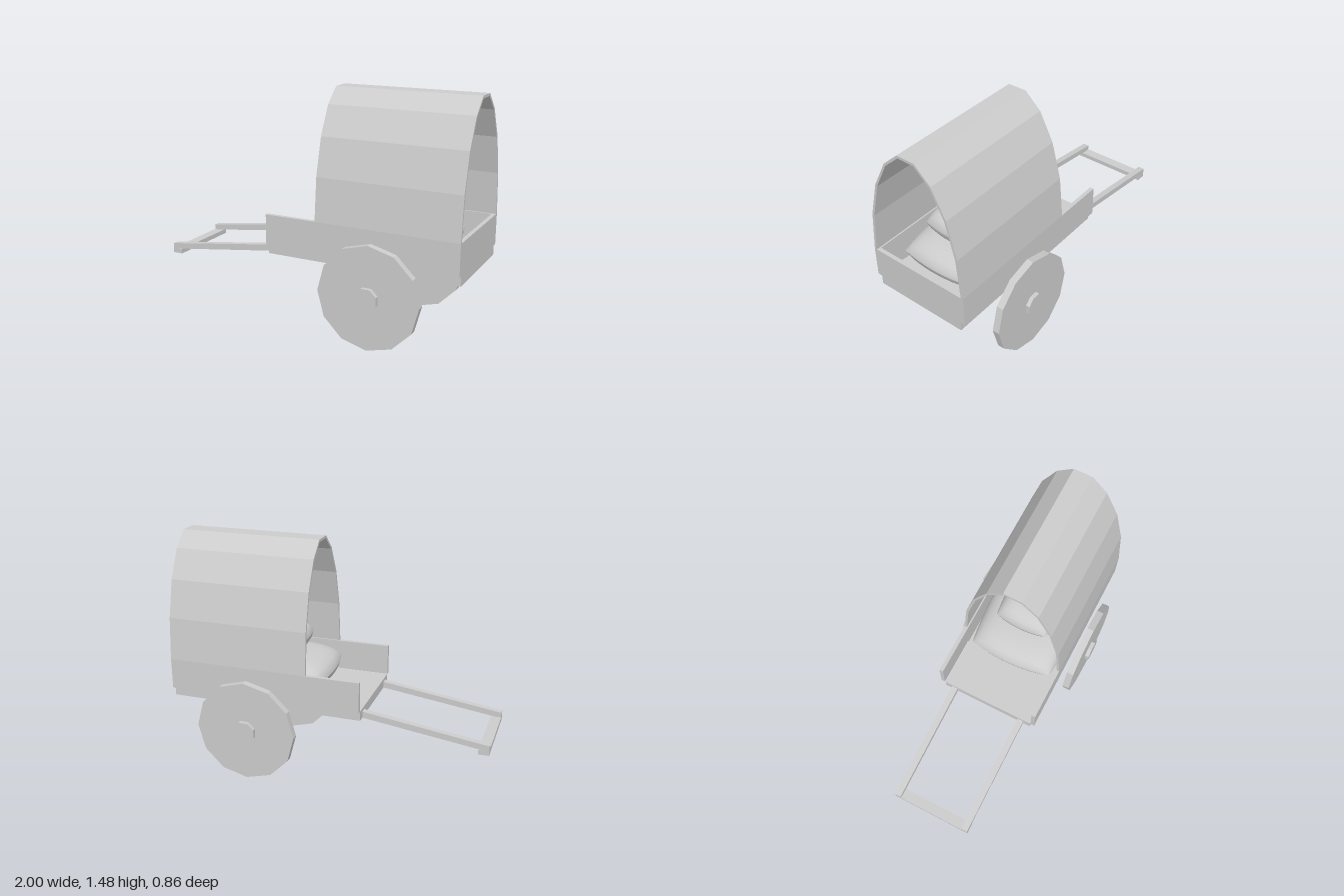
import * as THREE from 'three';
import { mergeGeometries } from 'three/addons/utils/BufferGeometryUtils.js';

const grey = new THREE.MeshStandardMaterial({ color: 0xcccccc });
grey.name = 'plain grey';

export function createModel() {
  const cart = new THREE.Group();
  cart.name = 'coveredCart';

  const add = (name, geometry) => {
    const mesh = new THREE.Mesh(geometry, grey);
    mesh.name = name;
    cart.add(mesh);
    return mesh;
  };
  // Box given by its limits on each axis
  const box = (name, x0, x1, y0, y1, z0, z1) => {
    const mesh = add(name, new THREE.BoxGeometry(x1 - x0, y1 - y0, z1 - z0));
    mesh.position.set((x0 + x1) / 2, (y0 + y1) / 2, (z0 + z1) / 2);
    return mesh;
  };
  // Faceted disc with its axis along z
  const disc = (name, radius, depth, sides, turn, z) => {
    const g = new THREE.CylinderGeometry(radius, radius, depth, sides).toNonIndexed();
    g.computeVertexNormals();
    g.rotateY(turn).rotateX(Math.PI / 2);
    add(name, g).position.set(0.48, 0.32, z);
  };

  // Cart bed
  box('floor', -0.23, 1, 0.455, 0.515, -0.305, 0.305);
  box('tailBoard', 0.975, 1, 0.515, 0.71, -0.31, 0.31);

  // Shaft side profile, extruded across its width
  const shaftShape = new THREE.Shape([
    [-1, 0.35], [-0.23, 0.455], [-0.23, 0.495], [-1, 0.387],
  ].map(([x, y]) => new THREE.Vector2(x, y)));

  for (const [side, s] of [['left', 1], ['right', -1]]) {
    const at = s > 0 ? [0.31, 0.335] : [-0.335, -0.31];
    box(side + 'SideBoard', -0.23, 1, 0.515, 0.71, ...at);
    disc(side + 'Wheel', 0.32, 0.045, 12, 0, s * 0.383);
    disc(side + 'Hub', 0.073, 0.092, 8, Math.PI / 8, s * 0.385);
    const shaft = new THREE.ExtrudeGeometry(shaftShape, { depth: 0.04, bevelEnabled: false });
    add(side + 'Shaft', shaft).position.z = s * 0.238 - 0.02;
  }
  box('crossbar', -1, -0.935, 0.325, 0.355, -0.258, 0.258);

  // Canopy: faceted arch with a thin wall, extruded along x
  const outer = [[0.335, 0.71], [0.312, 0.975], [0.253, 1.205], [0.163, 1.38], [0.06, 1.475]];
  const inner = [[0.319, 0.71], [0.297, 0.97], [0.24, 1.198], [0.153, 1.37], [0.055, 1.459]];
  const mirror = (list) => list.map(([z, y]) => [-z, y]).reverse();
  const outline = [...outer, ...mirror(outer), ...mirror(inner).reverse(), ...inner.slice().reverse()];
  const arch = new THREE.Shape(outline.map(([z, y]) => new THREE.Vector2(z, y)));
  const canopy = new THREE.ExtrudeGeometry(arch, { depth: 0.895, bevelEnabled: false });
  add('canopy', canopy.rotateY(Math.PI / 2)).position.x = 0.105;

  // Cushions: two bulging faces meeting at a seam with bowed edges
  const cushion = (name, halfX, halfY, halfZ, x, y, yaw) => {
    const faces = [1, -1].map((dir) => {
      const g = new THREE.PlaneGeometry(2, 2, 16, 16).rotateX(-dir * Math.PI / 2);
      const p = g.attributes.position;
      for (let i = 0; i < p.count; i++) {
        const u = Math.sin(p.getX(i) * Math.PI / 2);
        const v = Math.sin(p.getZ(i) * Math.PI / 2);
        const h = Math.sqrt(Math.max(0, (1 - u ** 4) * (1 - v ** 4)));
        p.setXYZ(i, halfX * u * (1 - 0.08 * v * v), dir * halfY * h, halfZ * v * (1 - 0.08 * u * u));
      }
      g.computeVertexNormals();
      return g;
    });
    const mesh = add(name, mergeGeometries(faces));
    mesh.position.set(x, y, 0);
    mesh.rotation.y = yaw;
  };
  cushion('lowerCushion', 0.415, 0.11, 0.295, 0.452, 0.625, 0.03);
  cushion('upperCushion', 0.275, 0.1, 0.185, 0.485, 0.82, 0);

  return cart;
}
